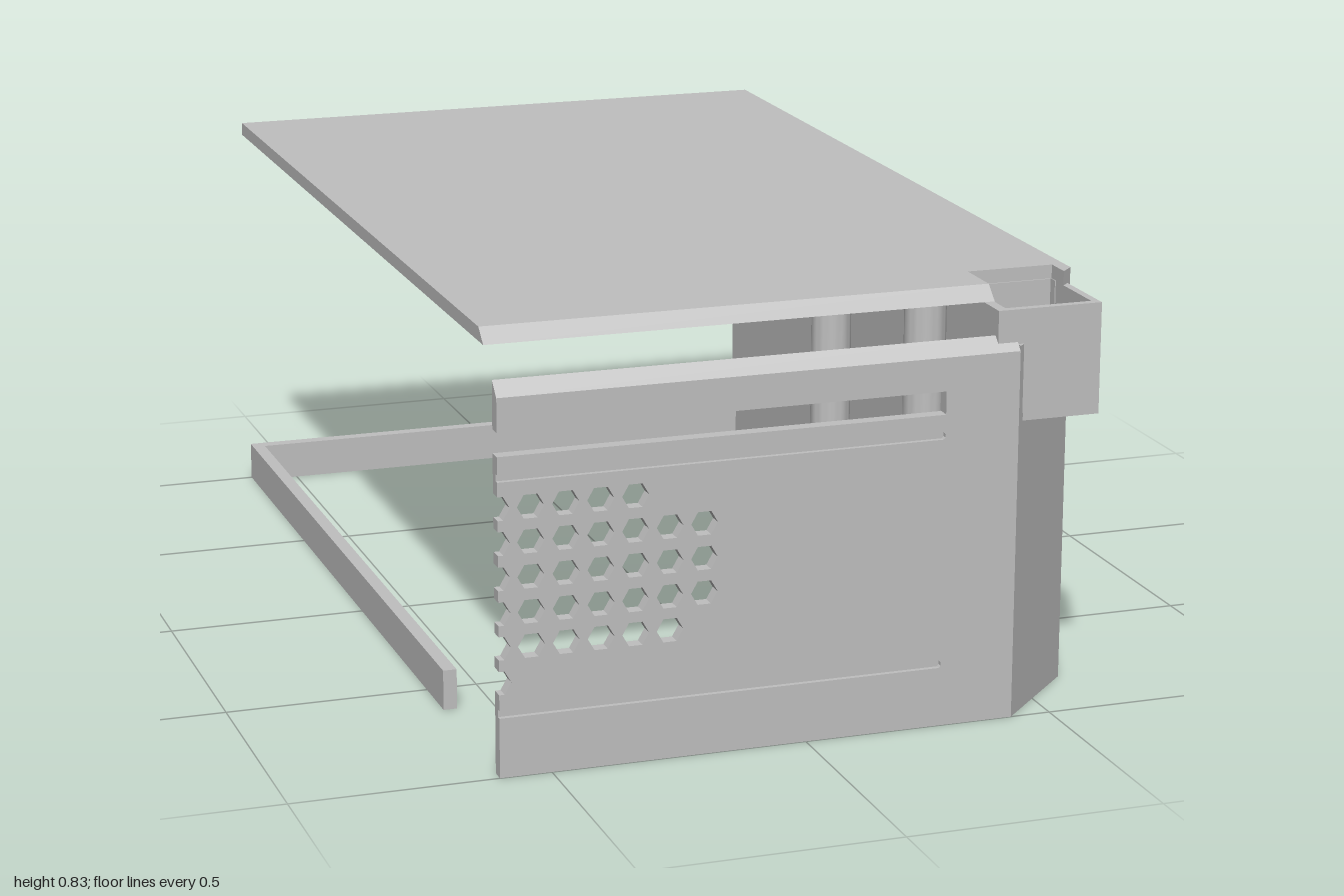
import * as THREE from 'three';
import { toCreasedNormals } from 'three/addons/utils/BufferGeometryUtils.js';

const grey = new THREE.MeshStandardMaterial({ color: 0xbfbfbf });
grey.name = 'plain grey';

const toShape = (pts) => new THREE.Shape(pts.map(([x, y]) => new THREE.Vector2(x, y)));
const extrude = (shape, depth) =>
  new THREE.ExtrudeGeometry(shape, { depth, bevelEnabled: false, curveSegments: 16 });

// Plan outline (x, z) raised from y0 to y1
const plan = (shape, y0, y1) => extrude(shape, y1 - y0).rotateX(Math.PI / 2).translate(0, y1, 0);
// Side profile (z, y) swept from x0 to x1
const sweepX = (pts, x0, x1) => extrude(toShape(pts), x1 - x0).rotateY(-Math.PI / 2).translate(x1, 0, 0);
// Box given by its limits
const box = (x0, x1, y0, y1, z0, z1) =>
  new THREE.BoxGeometry(x1 - x0, y1 - y0, z1 - z0).translate((x0 + x1) / 2, (y0 + y1) / 2, (z0 + z1) / 2);

const EDGE = -0.6, T = 0.027;
const HEX_R = 0.026, HEX_H = HEX_R * 0.866, PITCH = 0.0667;
// Vent rows: height and number of whole holes beside the half hole on the open edge
const VENT_ROWS = [[0.517, 4], [0.451, 6], [0.384, 6], [0.317, 6], [0.251, 5], [0.184, 0]];

// Front panel outline; notches on the open edge run from top to bottom
function panelShape(withGrooves) {
  const slot = (top, bottom, r) => [
    [EDGE, top], [0.272 - r, top], [0.272, top - r], [0.272, bottom + r], [0.272 - r, bottom], [EDGE, bottom],
  ];
  const halfHex = (y) => [
    [EDGE, y + HEX_H], [EDGE + HEX_R * 0.4, y + HEX_H], [EDGE + HEX_R * 0.9, y],
    [EDGE + HEX_R * 0.4, y - HEX_H], [EDGE, y - HEX_H],
  ];
  const pts = [[EDGE, 0], [0.42, 0], [0.42, 0.725], [EDGE, 0.725], ...slot(0.66, 0.615, 0.001)];
  if (withGrooves) pts.push(...slot(0.581, 0.567, 0.004));
  for (const [y] of VENT_ROWS) pts.push(...halfHex(y));
  if (withGrooves) pts.push(...slot(0.131, 0.116, 0.004));
  const shape = toShape(pts);
  for (const [y, count] of VENT_ROWS) {
    for (let c = 1; c <= count; c++) {
      const hole = [];
      for (let k = 0; k < 6; k++) {
        const a = (k * Math.PI) / 3;
        hole.push(new THREE.Vector2(-0.604 + c * PITCH + HEX_R * Math.cos(a), y + HEX_R * Math.sin(a)));
      }
      shape.holes.push(new THREE.Path(hole));
    }
  }
  return shape;
}

export function createModel() {
  const model = new THREE.Group();
  model.name = 'caseShell';
  const add = (name, geometry) => {
    const mesh = new THREE.Mesh(geometry, grey);
    mesh.name = name;
    model.add(mesh);
  };

  // Roof with a corner cut-out and a sloping front lip
  add('roof', plan(toShape([
    [EDGE, -1], [0.6, -1], [0.6, 0.82], [0.575, 0.845], [0.575, 0.79], [0.4, 0.79], [0.4, 0.89], [EDGE, 0.89],
  ]), 0.803, 0.83));
  add('roofLip', sweepX([[0.89, 0.803], [0.92, 0.803], [0.89, 0.83]], EDGE, 0.4));

  // Side wall
  add('sideWall', box(0.6 - T, 0.6, 0, 0.803, -1, 0.81));

  // Front panel: plain back layer, grooved face layer and sloping top lip
  add('frontPanelBack', extrude(panelShape(false), 0.017).translate(0, 0, 1 - T));
  add('frontPanelFace', extrude(panelShape(true), 0.01).translate(0, 0, 0.99));
  add('frontPanelLip', sweepX([[1 - T, 0.725], [1, 0.725], [1 - T, 0.752]], EDGE, 0.42));

  // Slanted corner wall, cut away inside the corner sleeve
  add('cornerWall', plan(toShape([[0.42, 1], [0.41, 1 - T], [0.573, 0.81], [0.6, 0.82]]), 0, 0.6));
  add('cornerWallUpperEnd', plan(toShape([[0.575, 0.845], [0.575, 0.81], [0.6, 0.81], [0.6, 0.82]]), 0.6, 0.803));
  add('cornerWallFrontEnd', plan(toShape([[0.42, 1], [0.42, 0.975], [0.432, 0.975], [0.432, 0.988]]), 0.6, 0.735));

  // Square sleeve, open at top and bottom
  const sleeve = toShape([[0.38, 0.772], [0.59, 0.772], [0.59, 0.986], [0.38, 0.986]]);
  sleeve.holes.push(new THREE.Path([[0.4, 0.79], [0.4, 0.97], [0.575, 0.97], [0.575, 0.79]]
    .map(([x, z]) => new THREE.Vector2(x, z))));
  add('cornerSleeve', plan(sleeve, 0.585, 0.802));

  // Low rails along the back and the open side
  add('backRail', box(EDGE, 0.6 - T, 0, 0.08, -1, -1 + T));
  add('sideRail', box(EDGE, EDGE + T, 0, 0.08, -1 + T, 0.62));

  // Hollow screw posts under the roof
  for (const z of [0.005, 0.515]) {
    const ring = new THREE.Shape().absarc(0.43, z, 0.042, 0, Math.PI * 2);
    ring.holes.push(new THREE.Path().absarc(0.43, z, 0.021, 0, Math.PI * 2, true));
    add('screwPost', toCreasedNormals(plan(ring, 0, 0.803), 0.6));
  }
  return model;
}
